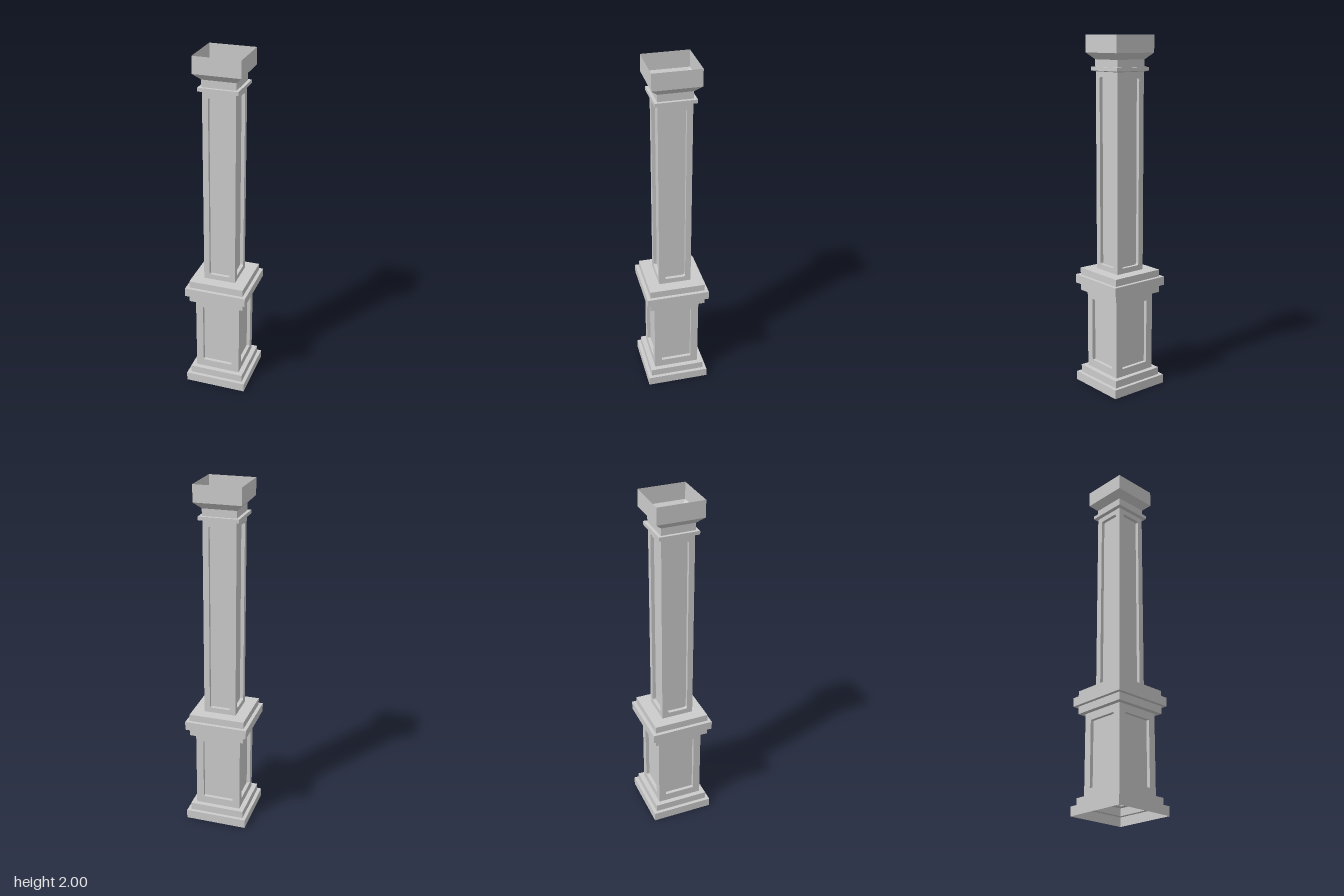
import * as THREE from 'three';
import { mergeGeometries } from 'three/addons/utils/BufferGeometryUtils.js';

const material = new THREE.MeshStandardMaterial({ color: 0xcccccc, flatShading: true, side: THREE.DoubleSide });

// Square hollow moulding: profile of [half width, height], bottom to top
function squareLathe(name, profile) {
  const points = profile.map(([r, y]) => new THREE.Vector2(r * Math.SQRT2, y));
  const geometry = new THREE.LatheGeometry(points, 4, Math.PI / 4).toNonIndexed();
  geometry.computeVertexNormals();
  const mesh = new THREE.Mesh(geometry, material);
  mesh.name = name;
  return mesh;
}

// Panel outline with corners softened by radius r
function outline(w, y0, y1, r) {
  const s = new THREE.Shape();
  s.moveTo(-w + r, y0);
  s.lineTo(w - r, y0);
  s.quadraticCurveTo(w, y0, w, y0 + r);
  s.lineTo(w, y1 - r);
  s.quadraticCurveTo(w, y1, w - r, y1);
  s.lineTo(-w + r, y1);
  s.quadraticCurveTo(-w, y1, -w, y1 - r);
  s.lineTo(-w, y0 + r);
  s.quadraticCurveTo(-w, y0, -w + r, y0);
  return s;
}

// One wall with a sunken panel: holed face, recess sides and back plate
function panelWall({ half, bottom, top, panelHalf, panelBottom, panelTop, radius, depth }) {
  const face = new THREE.Shape([
    new THREE.Vector2(-half, bottom), new THREE.Vector2(half, bottom),
    new THREE.Vector2(half, top), new THREE.Vector2(-half, top),
  ]);
  const panel = radius > 0
    ? outline(panelHalf, panelBottom, panelTop, radius)
    : new THREE.Shape([
      new THREE.Vector2(-panelHalf, panelBottom), new THREE.Vector2(panelHalf, panelBottom),
      new THREE.Vector2(panelHalf, panelTop), new THREE.Vector2(-panelHalf, panelTop),
    ]);
  face.holes.push(panel);
  const front = new THREE.ShapeGeometry(face, 3).translate(0, 0, half).toNonIndexed();
  const back = new THREE.ShapeGeometry(panel, 3).translate(0, 0, half - depth).toNonIndexed();

  const loop = panel.getPoints(3);
  const positions = [];
  loop.forEach((a, i) => {
    const b = loop[(i + 1) % loop.length];
    if (a.distanceTo(b) < 1e-6) return;
    const z0 = half, z1 = half - depth;
    positions.push(a.x, a.y, z0, b.x, b.y, z0, b.x, b.y, z1);
    positions.push(a.x, a.y, z0, b.x, b.y, z1, a.x, a.y, z1);
  });
  const sides = new THREE.BufferGeometry();
  sides.setAttribute('position', new THREE.Float32BufferAttribute(positions, 3));
  sides.computeVertexNormals();
  [front, back].forEach((g) => g.deleteAttribute('uv'));
  return mergeGeometries([front, back, sides]);
}

// Four identical panelled walls around the axis
function panelledShaft(name, options) {
  const group = new THREE.Group();
  group.name = name;
  const geometry = panelWall(options);
  for (let i = 0; i < 4; i++) {
    const wall = new THREE.Mesh(geometry, material);
    wall.name = name + 'Wall';
    wall.rotation.y = i * Math.PI / 2;
    group.add(wall);
  }
  return group;
}

export function createModel() {
  const model = new THREE.Group();
  model.name = 'column';

  // Stepped plinth, open underneath
  model.add(squareLathe('plinth', [
    [0.18, 0], [0.18, 0.052], [0.16, 0.052], [0.16, 0.095], [0.132, 0.095],
  ]));

  model.add(panelledShaft('pedestal', {
    half: 0.132, bottom: 0.095, top: 0.557,
    panelHalf: 0.089, panelBottom: 0.14, panelTop: 0.513, radius: 0, depth: 0.02,
  }));

  // Stepped cornice between pedestal and shaft
  model.add(squareLathe('pedestalCornice', [
    [0.132, 0.557], [0.16, 0.557], [0.16, 0.6], [0.18, 0.6], [0.18, 0.65],
    [0.16, 0.65], [0.16, 0.69], [0.093, 0.69],
  ]));

  model.add(panelledShaft('shaft', {
    half: 0.093, bottom: 0.69, top: 1.805,
    panelHalf: 0.06, panelBottom: 0.72, panelTop: 1.775, radius: 0.012, depth: 0.02,
  }));

  // Neck moulding and flared capital, open at the top
  model.add(squareLathe('capital', [
    [0.093, 1.805], [0.112, 1.81], [0.112, 1.83], [0.095, 1.83],
    [0.095, 1.87], [0.132, 1.906], [0.132, 2],
  ]));

  return model;
}
